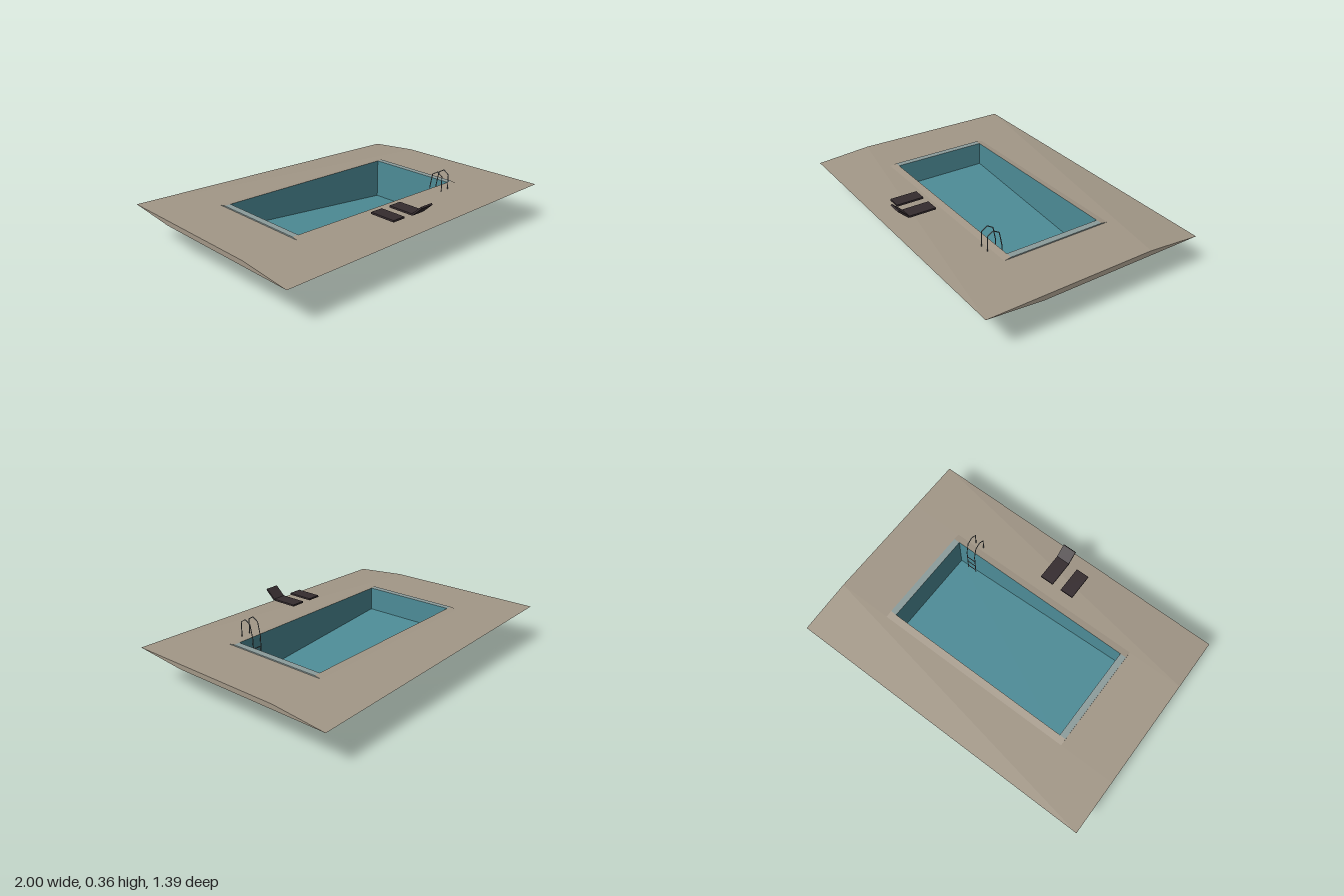
import * as THREE from 'three';

const material = (name, color, side = THREE.DoubleSide) => {
  const m = new THREE.MeshStandardMaterial({ color, side });
  m.name = name;
  return m;
};

// Flat-shaded surface from planar polygons, each a counter-clockwise fan of [x, y, z]
function surface(name, mat, polygons) {
  const pos = [];
  for (const p of polygons) {
    for (let i = 1; i < p.length - 1; i++) pos.push(...p[0], ...p[i], ...p[i + 1]);
  }
  const g = new THREE.BufferGeometry();
  g.setAttribute('position', new THREE.Float32BufferAttribute(pos, 3));
  g.computeVertexNormals();
  const mesh = new THREE.Mesh(g, mat);
  mesh.name = name;
  return mesh;
}

// Turn every polygon half a circle about the vertical axis
const halfTurn = (polys) => polys.map((p) => p.map(([x, y, z]) => [-x, y, -z]));
const bothEnds = (polys) => [...polys, ...halfTurn(polys)];

export function createModel() {
  const group = new THREE.Group();
  const stone = material('deck stone', 0xa29787);
  const rim = material('rim grey', 0x8c9c9b);
  const tile = material('pool teal', 0x4d8c97);
  const fabric = material('lounger dark', 0x352c2f);
  const steel = material('ladder steel', 0x666c6e);

  const W = 1, D = 0.693, S = 0.35;      // deck half sizes and strip line
  const PX = 0.61, PZ = 0.307;           // pool half sizes
  const T = 0.245, B = 0.215, R = 0.252; // deck top, deck bottom, rim top

  // Deck: front strip with one corner sunk and one raised, turned for the back
  const frontStrip = [
    [[-W, T, S], [W, T, D], [W, T, S]],
    [[-W, T, S], [-W, B, D], [W, T, D]],
    [[W, B, S], [-W, B, D], [-W, B, S]],
    [[W, B, S], [W, T, D], [-W, B, D]],
  ];
  const sideParts = [
    [[PX, T, -S], [PX, T, S], [W, T, S], [W, T, -S]],
    [[PX, B, -S], [W, B, -S], [W, B, S], [PX, B, S]],
    [[-PX, B, PZ], [PX, B, PZ], [PX, B, S], [-PX, B, S]],
    [[W, B, -D], [W, T, -S], [W, T, S], [W, T, D], [W, B, S], [W, B, -S]],
  ];
  group.add(surface('deck', stone, bothEnds([...frontStrip, ...sideParts])));

  // Coping: sloped stone on the long sides, flat grey on the short sides
  const CX = 0.65;
  group.add(surface('longCoping', stone, bothEnds([
    [[-CX, R, PZ], [-CX, T, S], [CX, T, S], [CX, R, PZ]],
  ])));
  group.add(surface('shortCoping', rim, bothEnds([
    [[PX, R, -PZ], [PX, R, PZ], [CX, R, PZ], [CX, R, -PZ]],
    [[CX, R, -PZ], [CX, R, PZ], [CX, T, S], [CX, T, -S]],
  ])));

  // Pool shell with a floor sloping to the deep end
  const shallow = 0.1, deep = 0;
  const longWall = (z) => [[-PX, shallow, z], [PX, deep, z], [PX, R, z], [-PX, R, z]];
  const endWall = (x, y) => [[x, y, PZ], [x, y, -PZ], [x, R, -PZ], [x, R, PZ]];
  group.add(surface('poolShell', tile, [
    longWall(-PZ),
    longWall(PZ).reverse(),
    endWall(-PX, shallow).reverse(),
    endWall(PX, deep),
    [[-PX, shallow, -PZ], [-PX, shallow, PZ], [PX, deep, PZ], [PX, deep, -PZ]],
  ]));

  // Loungers
  const panel = (name, w, d, x, y, z, tilt = 0) => {
    const m = new THREE.Mesh(new THREE.BoxGeometry(w, 0.011, d), fabric);
    m.name = name;
    m.position.set(x, y, z);
    m.rotation.x = tilt;
    group.add(m);
  };
  panel('loungerSeat', 0.085, 0.17, -0.137, 0.289, 0.498);
  panel('loungerSeat', 0.088, 0.17, 0.01, 0.289, 0.498);
  panel('loungerBack', 0.088, 0.086, 0.011, 0.318, 0.616, -0.74);

  // Ladder: two bent rails and rungs
  const ladder = new THREE.Group();
  ladder.name = 'ladder';
  const railPoints = [[0.245, 0.373], [0.338, 0.373], [0.36, 0.337], [0.338, 0.3], [0.252, 0.282], [0.05, 0.282]];
  const rod = (name, a, b) => {
    const from = new THREE.Vector3(...a), to = new THREE.Vector3(...b);
    const m = new THREE.Mesh(new THREE.TubeGeometry(new THREE.LineCurve3(from, to), 1, 0.0028, 6), steel);
    m.name = name;
    ladder.add(m);
  };
  for (const x of [0.469, 0.529]) {
    for (let i = 0; i < railPoints.length - 1; i++) rod('ladderRail', [x, ...railPoints[i]], [x, ...railPoints[i + 1]]);
  }
  for (const y of [0.07, 0.13, 0.19]) rod('ladderRung', [0.469, y, 0.282], [0.529, y, 0.282]);
  group.add(ladder);

  return group;
}
